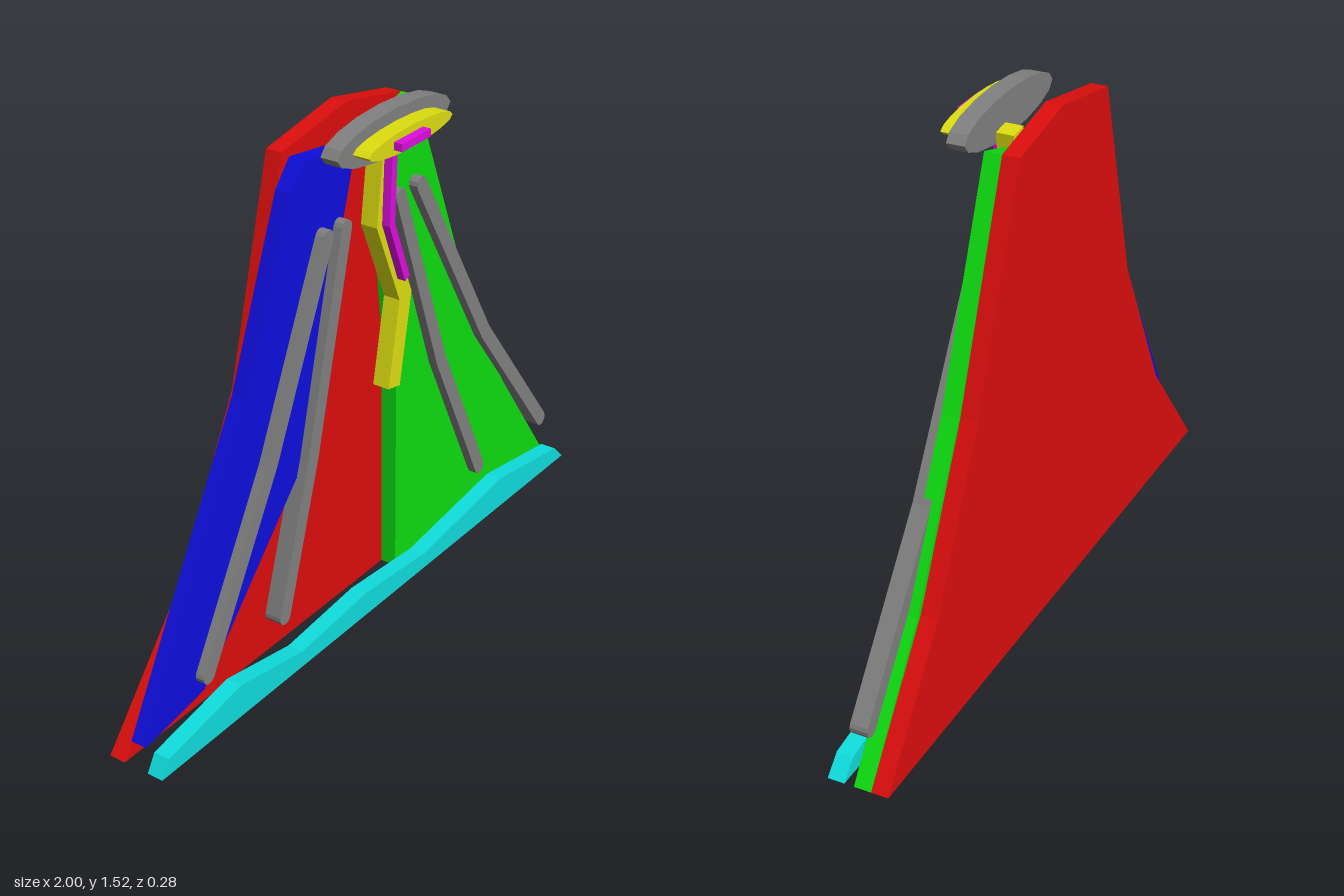
import * as THREE from 'three';

const mat = (name, color) => {
  const m = new THREE.MeshStandardMaterial({ color });
  m.name = name;
  return m;
};

export function createModel() {
  const model = new THREE.Group();
  model.name = 'layeredVolcano';

  const red = mat('red', 0xdd0e0e);
  const green = mat('green', 0x0edd10);
  const blue = mat('blue', 0x0e0edd);
  const cyan = mat('cyan', 0x10dddd);
  const grey = mat('grey', 0x808080);
  const yellow = mat('yellow', 0xdddd10);
  const magenta = mat('magenta', 0xdd0edd);

  // Flat slab between two depths
  const slab = (name, shape, z0, z1, material) => {
    const geo = new THREE.ExtrudeGeometry(shape, { depth: z1 - z0, bevelEnabled: false, curveSegments: 8 });
    geo.translate(0, 0, z0);
    const mesh = new THREE.Mesh(geo, material);
    mesh.name = name;
    model.add(mesh);
  };
  const poly = (pts) => new THREE.Shape(pts.map(([x, y]) => new THREE.Vector2(x, y)));

  // Outline of a ribbon along a path, with mitred bends and flat or round ends
  const ribbon = (path, r, round) => {
    const p = path.map(([x, y]) => new THREE.Vector2(x, y));
    const dirs = p.slice(1).map((q, i) => q.clone().sub(p[i]).normalize());
    const left = [], right = [];
    p.forEach((q, i) => {
      const a = dirs[Math.max(i - 1, 0)], b = dirs[Math.min(i, dirs.length - 1)];
      const t = a.clone().add(b).normalize();
      const n = new THREE.Vector2(-t.y, t.x).multiplyScalar(r / t.dot(a));
      left.push(q.clone().add(n));
      right.push(q.clone().sub(n));
    });
    const cap = (c, d) => {
      if (!round) return [];
      const start = Math.atan2(d.y, d.x) - Math.PI / 2;
      return [1, 2, 3, 4, 5].map((k) => {
        const a = start + (k * Math.PI) / 6;
        return new THREE.Vector2(c.x + r * Math.cos(a), c.y + r * Math.sin(a));
      });
    };
    return new THREE.Shape([
      ...right, ...cap(p[p.length - 1], dirs[dirs.length - 1]),
      ...left.reverse(), ...cap(p[0], dirs[0].clone().negate()),
    ]);
  };
  const ellipse = (cx, cy, rx, ry) => new THREE.Shape().absellipse(cx, cy, rx, ry, 0, Math.PI * 2);

  // Mountain body at the back
  slab('mountainBody', poly([
    [-1, 0], [1, 0], [0.72, 0.37], [0.49, 0.83], [0.25, 1.46], [0, 1.51],
    [-0.28, 1.46], [-0.45, 0.84], [-0.7, 0.36],
  ]), -0.14, -0.09, red);

  // Left and right slopes
  slab('rightSlope', poly([
    [-0.97, 0.05], [-0.73, 0.09], [-0.29, 0.56], [-0.03, 1.41], [-0.25, 1.44],
    [-0.31, 1.37], [-0.51, 0.87],
  ]), -0.09, -0.04, blue);
  slab('leftSlope', poly([
    [0.16, 0], [1, 0], [0.74, 0.37], [0.5, 0.83], [0.25, 1.46], [0.08, 1.41], [0.16, 0.76],
  ]), -0.09, -0.04, green);

  // Ridges running down the slopes
  [
    [[-0.19, 1.21], [-0.45, 0.65], [-0.74, 0.15]],
    [[-0.11, 1.21], [-0.27, 0.59], [-0.41, 0.15]],
    [[0.14, 1.21], [0.35, 0.62], [0.575, 0.15]],
    [[0.24, 1.21], [0.59, 0.61], [0.94, 0.15]],
  ].forEach((path, i) => slab(`ridge${i + 1}`, ribbon(path, 0.023, true), -0.064, -0.012, grey));

  // Lava stream and its hot core
  slab('lavaStream', ribbon([[0.055, 1.44], [0.02, 1.18], [0.128, 0.925], [0.075, 0.66]], 0.028, false), -0.04, 0.012, yellow);
  slab('lavaCore', ribbon([[0.04, 1.42], [0.027, 1.18], [0.1, 0.995]], 0.012, false), 0.012, 0.037, magenta);

  // Foothills along the base
  slab('foothills', poly([
    [-1, 0], [1, 0], [0.95, 0.05], [0.62, 0.1], [0.2, 0.05], [-0.1, 0.075],
    [-0.4, 0.05], [-0.67, 0.1], [-0.97, 0.05],
  ]), -0.012, 0.037, cyan);

  // Crater rim, lava pool and pool glow
  slab('craterRim', ellipse(0, 1.463, 0.255, 0.062), 0.012, 0.065, grey);
  slab('lavaPool', ellipse(0, 1.46, 0.19, 0.031), 0.065, 0.115, yellow);
  slab('poolGlow', poly([[-0.08, 1.448], [0.05, 1.448], [0.05, 1.47], [-0.08, 1.47]]), 0.115, 0.14, magenta);

  return model;
}
